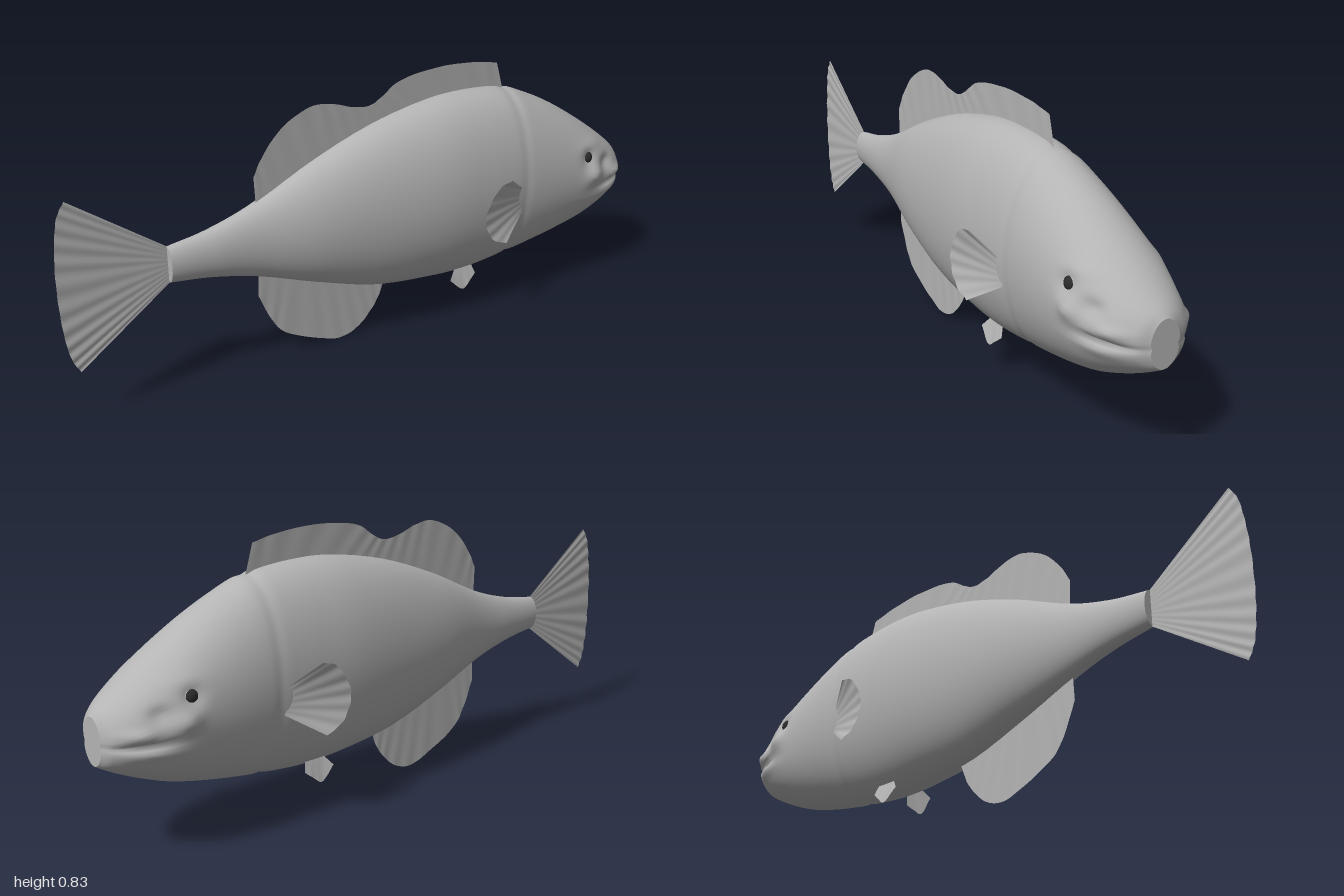
import * as THREE from 'three';

const V = (x, y, z = 0) => new THREE.Vector3(x, y, z);

// Body stations from tail to snout: x, top, bottom, half width
const STATIONS = [
  [-0.68, 0.475, 0.365, 0.03], [-0.55, 0.495, 0.345, 0.04], [-0.4, 0.54, 0.305, 0.058],
  [-0.2, 0.63, 0.23, 0.103], [0, 0.7, 0.165, 0.133], [0.2, 0.74, 0.137, 0.154],
  [0.35, 0.746, 0.13, 0.157], [0.5, 0.73, 0.143, 0.156], [0.6, 0.692, 0.157, 0.157],
  [0.7, 0.642, 0.175, 0.156], [0.8, 0.58, 0.2, 0.153], [0.88, 0.525, 0.23, 0.138],
  [0.94, 0.48, 0.257, 0.113], [0.98, 0.447, 0.278, 0.08], [1.0, 0.425, 0.29, 0.045],
];

// Sculpted head relief: x, y, spread x, spread y, height
const RELIEF = [
  [0.78, 0.465, 0.03, 0.026, -0.012],  // eye socket
  [0.81, 0.505, 0.06, 0.018, 0.006],   // brow
  [0.805, 0.405, 0.035, 0.025, 0.014], // cheek
  [0.87, 0.43, 0.035, 0.022, -0.016],  // hollow before the eye
  [0.93, 0.385, 0.04, 0.014, 0.012],   // upper lip
  [0.9, 0.352, 0.085, 0.008, -0.02],   // mouth crease
  [0.9, 0.325, 0.07, 0.016, 0.006],    // lower lip
];

const gauss = (d, s) => Math.exp(-((d / s) ** 2));

// Elliptical loft along x, with a gill seam and the head relief
function bodyGeometry() {
  const profile = new THREE.CatmullRomCurve3(STATIONS.map(s => V(s[0], s[1], s[2])), false, 'catmullrom');
  const widths = new THREE.CatmullRomCurve3(STATIONS.map(s => V(s[0], s[3])), false, 'catmullrom');
  const rings = 196, sides = 80, pos = [], index = [];
  for (let i = 0; i <= rings; i++) {
    const p = profile.getPoint(i / rings), w = widths.getPoint(i / rings).y;
    const x = Math.min(p.x, 1), seam = 1 - 0.016 * gauss(x - 0.505, 0.018);
    const c = (p.y + p.z) / 2, h = (p.y - p.z) / 2;
    for (let j = 0; j < sides; j++) {
      const a = j / sides * Math.PI * 2, s = Math.sin(a);
      const y = c + h * Math.cos(a) * seam;
      let bump = 0;
      if (x > 0.6) for (const [rx, ry, sx, sy, k] of RELIEF) bump += k * gauss(x - rx, sx) * gauss(y - ry, sy);
      pos.push(x, y, s * (w * seam + bump));
    }
  }
  for (let i = 0; i < rings; i++) for (let j = 0; j < sides; j++) {
    const a = i * sides + j, b = i * sides + (j + 1) % sides;
    index.push(a, b, a + sides, b, b + sides, a + sides);
  }
  // End caps with their own rims, so the edges stay sharp
  for (const [ring, front] of [[0, false], [rings, true]]) {
    const start = pos.length / 3;
    const s = STATIONS[front ? STATIONS.length - 1 : 0];
    pos.push(s[0], (s[1] + s[2]) / 2, 0);
    for (let j = 0; j < sides; j++) {
      const k = (ring * sides + j) * 3;
      pos.push(pos[k], pos[k + 1], pos[k + 2]);
      const a = start + 1 + j, b = start + 1 + (j + 1) % sides;
      index.push(start, front ? a : b, front ? b : a);
    }
  }
  return finish(pos, index);
}

function finish(pos, index) {
  const g = new THREE.BufferGeometry();
  g.setAttribute('position', new THREE.Float32BufferAttribute(pos, 3));
  g.setIndex(index);
  g.computeVertexNormals();
  return g;
}

// Thin fin ruled between a root line and an outer edge, rippled by fin rays
function finGeometry(root, edge, rays, depth) {
  const outer = new THREE.CatmullRomCurve3(edge.map(p => V(...p)));
  const [r0, r1] = root.map(p => V(...p));
  const cols = rays * 8, rows = 6, pos = [], index = [];
  for (let i = 0; i <= cols; i++) {
    const u = i / cols, a = r0.clone().lerp(r1, u), b = outer.getPoint(u);
    for (let j = 0; j <= rows; j++) {
      const p = a.clone().lerp(b, j / rows);
      pos.push(p.x, p.y, p.z + depth * Math.sin(u * rays * Math.PI * 2) * j / rows);
      if (i < cols && j < rows) {
        const k = i * (rows + 1) + j, n = k + rows + 1;
        index.push(k, k + 1, n, n, k + 1, n + 1);
      }
    }
  }
  return finish(pos, index);
}

export function createModel() {
  const skin = new THREE.MeshStandardMaterial({ color: 0xb4b4b4, side: THREE.DoubleSide });
  skin.name = 'greySkin';
  const dark = new THREE.MeshStandardMaterial({ color: 0x2c2c2c });
  dark.name = 'darkPupil';

  const model = new THREE.Group();
  model.name = 'fish';
  const add = (name, geometry, material = skin, parent = model) => {
    const mesh = new THREE.Mesh(geometry, material);
    mesh.name = name;
    parent.add(mesh);
    return mesh;
  };

  add('body', bodyGeometry());

  // Fins on the middle line
  add('tailFin', finGeometry([[-0.67, 0.47], [-0.67, 0.37]], [
    [-0.955, 0.68], [-0.978, 0.64], [-0.992, 0.57], [-1, 0.48], [-1, 0.36],
    [-0.993, 0.27], [-0.98, 0.205], [-0.96, 0.165]], 11, 0.0015));
  add('dorsalFin', finGeometry([[-0.395, 0.5], [0.515, 0.7]], [
    [-0.4, 0.62], [-0.37, 0.675], [-0.3, 0.752], [-0.2, 0.796], [-0.13, 0.789], [-0.06, 0.766],
    [0, 0.76], [0.04, 0.778], [0.1, 0.815], [0.25, 0.835], [0.4, 0.826], [0.482, 0.81]], 14, 0.0007));
  add('analFin', finGeometry([[-0.395, 0.34], [0.07, 0.2]], [
    [-0.4, 0.235], [-0.36, 0.145], [-0.32, 0.09], [-0.2, 0.027], [-0.115, 0.001],
    [-0.05, 0.018], [0, 0.062], [0.028, 0.1], [0.055, 0.165]], 9, 0.0007));

  // Paired fins and eyes
  for (const side of [1, -1]) {
    const name = side > 0 ? 'Left' : 'Right';
    // The fish swims toward +x, so its sides lie along z
    const flip = pts => pts.map(([x, y, z]) => [x, y, z * side]);
    add('pectoralFin' + name, finGeometry(
      flip([[0.495, 0.425, 0.148], [0.495, 0.35, 0.148]]),
      flip([[0.4, 0.493, 0.199], [0.355, 0.48, 0.2], [0.318, 0.435, 0.2], [0.3, 0.39, 0.2],
        [0.308, 0.345, 0.2], [0.335, 0.305, 0.2], [0.388, 0.28, 0.199]]), 6, 0.0015));
    add('pelvicFin' + name, finGeometry(
      flip([[0.36, 0.155, 0.06], [0.29, 0.155, 0.06]]),
      flip([[0.37, 0.125, 0.07], [0.345, 0.105, 0.076], [0.315, 0.085, 0.08], [0.265, 0.125, 0.074]]), 3, 0.0005));

    const eye = new THREE.Group();
    eye.name = 'eye' + name;
    eye.position.set(0.78, 0.463, 0.118 * side);
    eye.rotation.x = side * (Math.PI / 2 - 0.12);
    model.add(eye);
    add('eyeball', new THREE.SphereGeometry(0.025, 24, 16), skin, eye);
    add('pupil', new THREE.SphereGeometry(0.0258, 24, 8, 0, Math.PI * 2, 0, 0.85), dark, eye);
  }
  return model;
}
